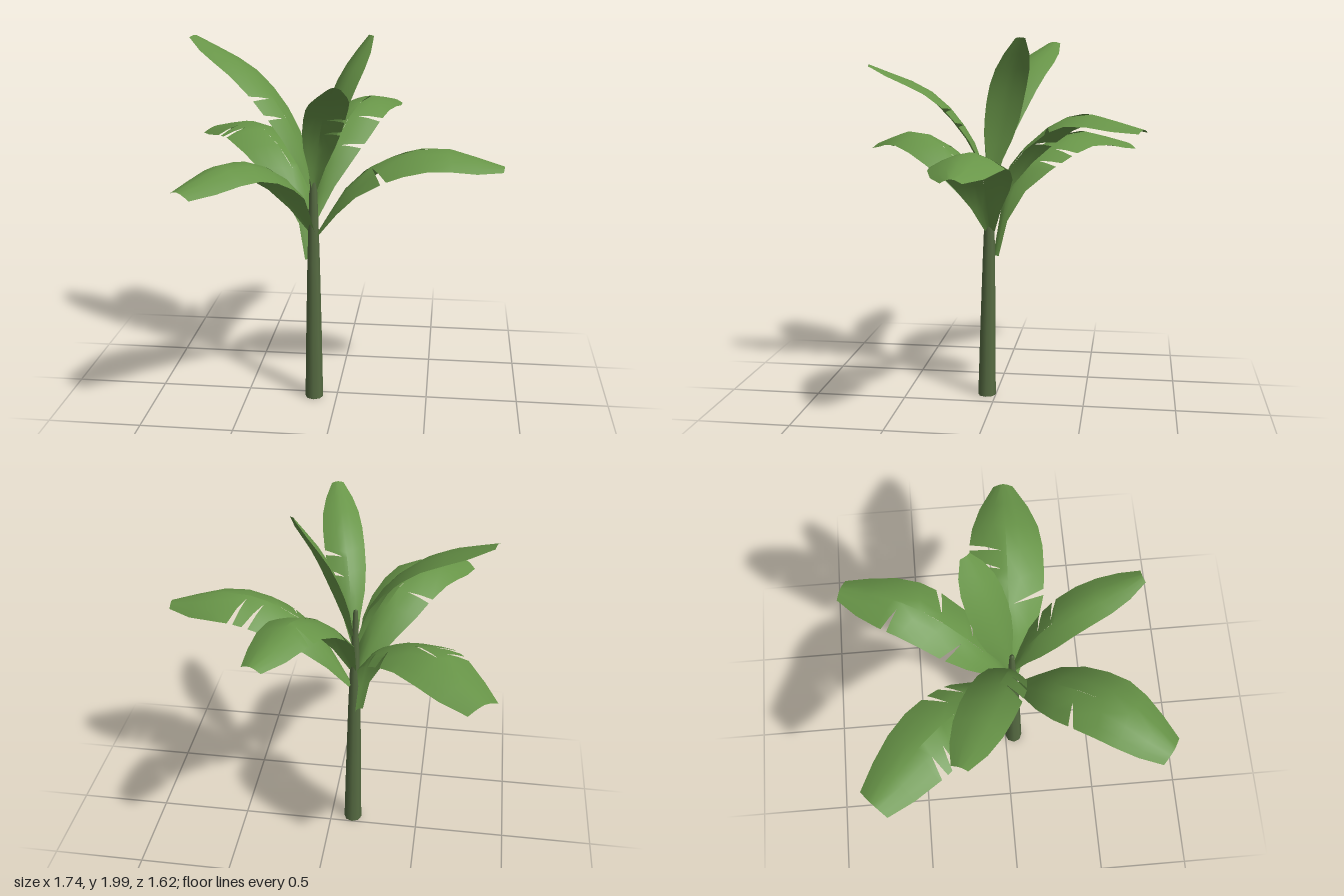
import * as THREE from 'three';
import { mergeVertices } from 'three/addons/utils/BufferGeometryUtils.js';

const leafGreen = new THREE.MeshStandardMaterial({ color: 0x689548, side: THREE.DoubleSide });
leafGreen.name = 'leafGreen';
const trunkGreen = new THREE.MeshStandardMaterial({ color: 0x566b42 });
trunkGreen.name = 'trunkGreen';

// Midrib through four points, half width, tip width, droop of the edges, and tears:
// signed positions along the midrib (sign = side of the blade), starting at tearFrom across
const LEAVES = [
  { name: 'leftLeaf', width: 0.193, tip: 0.27, droop: 0.42, tears: [0.4, -0.55, -0.63], tearFrom: 0.15,
    midrib: [[-0.11, 0.95, 0.03], [0.12, 1.29, 0.04], [0.5, 1.445, 0.055], [0.87, 1.36, 0.07]] },
  { name: 'frontRightLeaf', width: 0.175, tip: 0.45, droop: 0.4, tears: [0.48], tearFrom: 0.35,
    midrib: [[-0.13, 0.97, 0.04], [-0.235, 1.28, 0.2], [-0.435, 1.455, 0.495], [-0.665, 1.37, 0.77]] },
  { name: 'frontLeaf', width: 0.107, tip: 0.3, droop: 0.35, tears: [-0.36, -0.47], tearFrom: 0.2,
    midrib: [[-0.12, 1.2, 0.035], [-0.085, 1.46, 0.125], [-0.025, 1.7, 0.32], [0.055, 1.85, 0.65]] },
  { name: 'rightLeaf', width: 0.13, tip: 0.3, droop: 0.25, tears: [-0.36, -0.47], tearFrom: 0.25,
    midrib: [[-0.125, 1.18, 0.03], [-0.23, 1.5, 0.005], [-0.47, 1.79, -0.1], [-0.81, 1.965, -0.255]] },
  { name: 'uprightLeaf', width: 0.11, tip: 0.25, droop: 0.25, tears: [], tearFrom: 0,
    midrib: [[-0.12, 1.22, 0.025], [-0.07, 1.5, -0.02], [0.02, 1.76, -0.075], [0.155, 1.99, -0.16]] },
  { name: 'backLeaf', width: 0.155, tip: 0.36, droop: 0.35, tears: [-0.38, -0.71, 0.34, 0.52], tearFrom: 0.25,
    midrib: [[-0.12, 1.05, 0.02], [-0.05, 1.36, -0.13], [0.1, 1.6, -0.44], [0.25, 1.54, -0.79]] },
  { name: 'backRightLeaf', width: 0.185, tip: 0.5, droop: 0.35, tears: [0.42, 0.51, -0.66, -0.72], tearFrom: 0.4, stalk: 0.12,
    midrib: [[-0.15, 0.8, 0.01], [-0.23, 1.22, -0.09], [-0.5, 1.455, -0.38], [-0.805, 1.375, -0.695]] },
];

const OUTLINE = [0.14, 0.42, 0.76, 0.95, 1, 0.98, 0.82]; // width from stalk towards tip
const ACROSS = [0, 0.35, 0.7, 1]; // midrib to edge
const ROWS = 8;
const HALF_GAP = 0.015;

// An arched blade along a curved midrib, torn along slanted slits
function makeLeaf({ name, width, tip, droop, tears, tearFrom, midrib, stalk = 0 }) {
  const points = midrib.map((p) => new THREE.Vector3(...p));
  const curve = new THREE.CatmullRomCurve3(points);
  const outline = [...OUTLINE, tip];
  const heading = points[3].clone().sub(points[0]).setY(0).normalize();
  const sideways = new THREE.Vector3(-heading.z, 0, heading.x);

  const halfWidth = (u) => {
    const f = Math.max(0, (u - stalk) / (1 - stalk)) * (outline.length - 1);
    const i = Math.min(Math.floor(f), outline.length - 2);
    return width * THREE.MathUtils.lerp(outline[i], outline[i + 1], f - i);
  };

  // Veins slant towards the tip and the blade droops away from the midrib
  const bladePoint = (t, s, side, shift) => {
    const u = THREE.MathUtils.clamp(t + shift + 0.2 * s * t * (1 - t), 0, 1);
    const w = halfWidth(u);
    const normal = sideways.clone().cross(curve.getTangentAt(u));
    return curve.getPointAt(u)
      .addScaledVector(sideways, side * s * w)
      .addScaledVector(normal, -droop * w * Math.pow(s, 1.6));
  };

  const position = [], index = [];
  for (const side of [1, -1]) {
    // Rows along the leaf; each tear is a pair of rows that part towards the edge
    const mine = tears.filter((t) => Math.sign(t) === side).map(Math.abs);
    const rows = [];
    for (let k = 0; k <= ROWS; k++) {
      const t = k / ROWS;
      if (mine.every((tear) => Math.abs(tear - t) > 0.03)) rows.push({ t, gap: 0 });
    }
    for (const t of mine) rows.push({ t, gap: -HALF_GAP }, { t, gap: HALF_GAP });
    rows.sort((a, b) => a.t - b.t || a.gap - b.gap);

    const n = ACROSS.length, start = position.length / 3;
    rows.forEach(({ t, gap }, r) => {
      // Tear rows put one point exactly where the slit begins
      const across = gap ? [0, tearFrom, (tearFrom + 1) / 2, 1] : ACROSS;
      for (const s of across) {
        const shift = gap * Math.max(0, (s - tearFrom) / (1 - tearFrom));
        position.push(...bladePoint(t, s, side, shift).toArray());
      }
      if (r === rows.length - 1 || gap < 0) return;
      for (let j = 0; j < n - 1; j++) {
        const a = start + r * n + j, b = a + 1, c = a + n, d = c + 1;
        if (side > 0) index.push(a, b, c, b, d, c);
        else index.push(a, c, b, b, c, d);
      }
    });
  }
  let geometry = new THREE.BufferGeometry();
  geometry.setAttribute('position', new THREE.Float32BufferAttribute(position, 3));
  geometry.setIndex(index);
  geometry = mergeVertices(geometry, 1e-4);
  geometry.computeVertexNormals();
  const mesh = new THREE.Mesh(geometry, leafGreen);
  mesh.name = name;
  return mesh;
}

// Tapered stem that leans slightly backwards
function makeTrunk() {
  const profile = [[0, 0], [0.05, 0], [0.05, 0.001], [0.043, 0.4], [0.034, 0.8], [0.028, 1], [0.02, 1.22], [0.012, 1.4], [0, 1.41]]
    .map(([r, y]) => new THREE.Vector2(r, y));
  const geometry = new THREE.LatheGeometry(profile, 8);
  const p = geometry.attributes.position;
  for (let i = 0; i < p.count; i++) {
    p.setXYZ(i, p.getX(i) - 0.126, p.getY(i), p.getZ(i) + 0.05 - 0.014 * p.getY(i));
  }
  const mesh = new THREE.Mesh(geometry, trunkGreen);
  mesh.name = 'trunk';
  return mesh;
}

export function createModel() {
  const plant = new THREE.Group();
  plant.name = 'broadLeafPlant';
  plant.add(makeTrunk(), ...LEAVES.map(makeLeaf));
  return plant;
}
